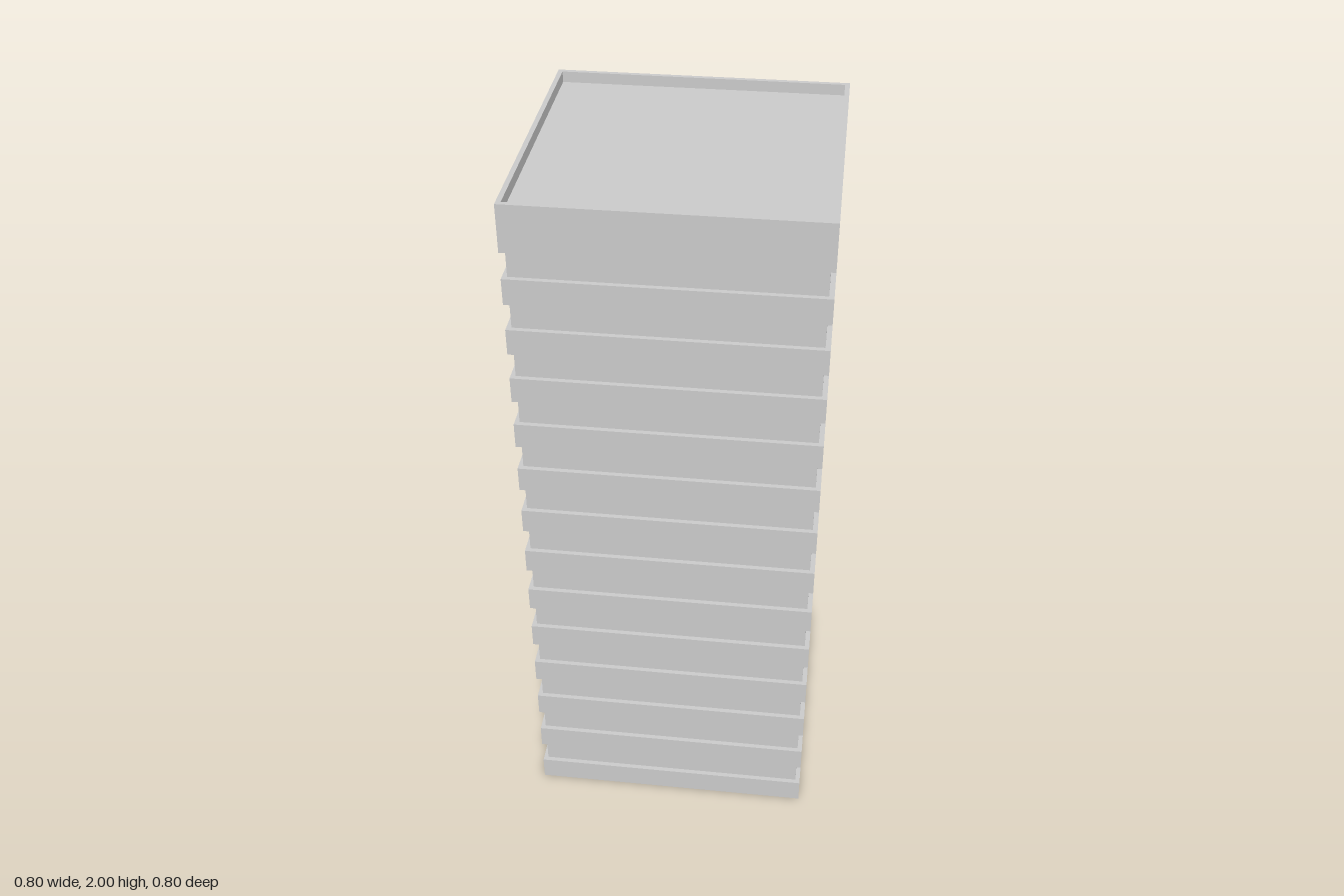
import * as THREE from 'three';

const OUTER = 0.4, INNER = 0.387;   // half widths of slab edges and recessed windows
const FLOORS = 13, STEP = 0.144, BAND = 0.072;
const TOP = 2, ROOF = 1.97;

const material = new THREE.MeshStandardMaterial({
  color: 0xcccccc, flatShading: true, side: THREE.DoubleSide,
});

// Square ring swept from a profile of [half width, height] points
function squareRing(name, profile) {
  const points = profile.map(([w, y]) => new THREE.Vector2(w * Math.SQRT2, y));
  const geometry = new THREE.LatheGeometry(points, 4, Math.PI / 4).toNonIndexed();
  geometry.computeVertexNormals();
  const mesh = new THREE.Mesh(geometry, material);
  mesh.name = name;
  return mesh;
}

export function createModel() {
  const tower = new THREE.Group();
  tower.name = 'tower';

  // Storeys: projecting band with ledges, then a recessed window strip
  for (let i = 0; i < FLOORS; i++) {
    const y = i * STEP;
    const band = [[OUTER, y], [OUTER, y + BAND], [INNER, y + BAND]];
    if (i > 0) band.unshift([INNER, y]);   // the base is open underneath
    tower.add(squareRing('floorBand', band));
    tower.add(squareRing('windowStrip', [[INNER, y + BAND], [INNER, y + STEP]]));
  }

  // Taller crown band with a thin parapet around the roof
  const crown = FLOORS * STEP;
  tower.add(squareRing('parapet', [
    [INNER, crown], [OUTER, crown], [OUTER, TOP], [INNER, TOP], [INNER, ROOF],
  ]));

  // Sunken flat roof
  const roof = new THREE.Mesh(new THREE.PlaneGeometry(INNER * 2, INNER * 2), material);
  roof.name = 'roof';
  roof.rotation.x = -Math.PI / 2;
  roof.position.y = ROOF;
  tower.add(roof);

  return tower;
}
